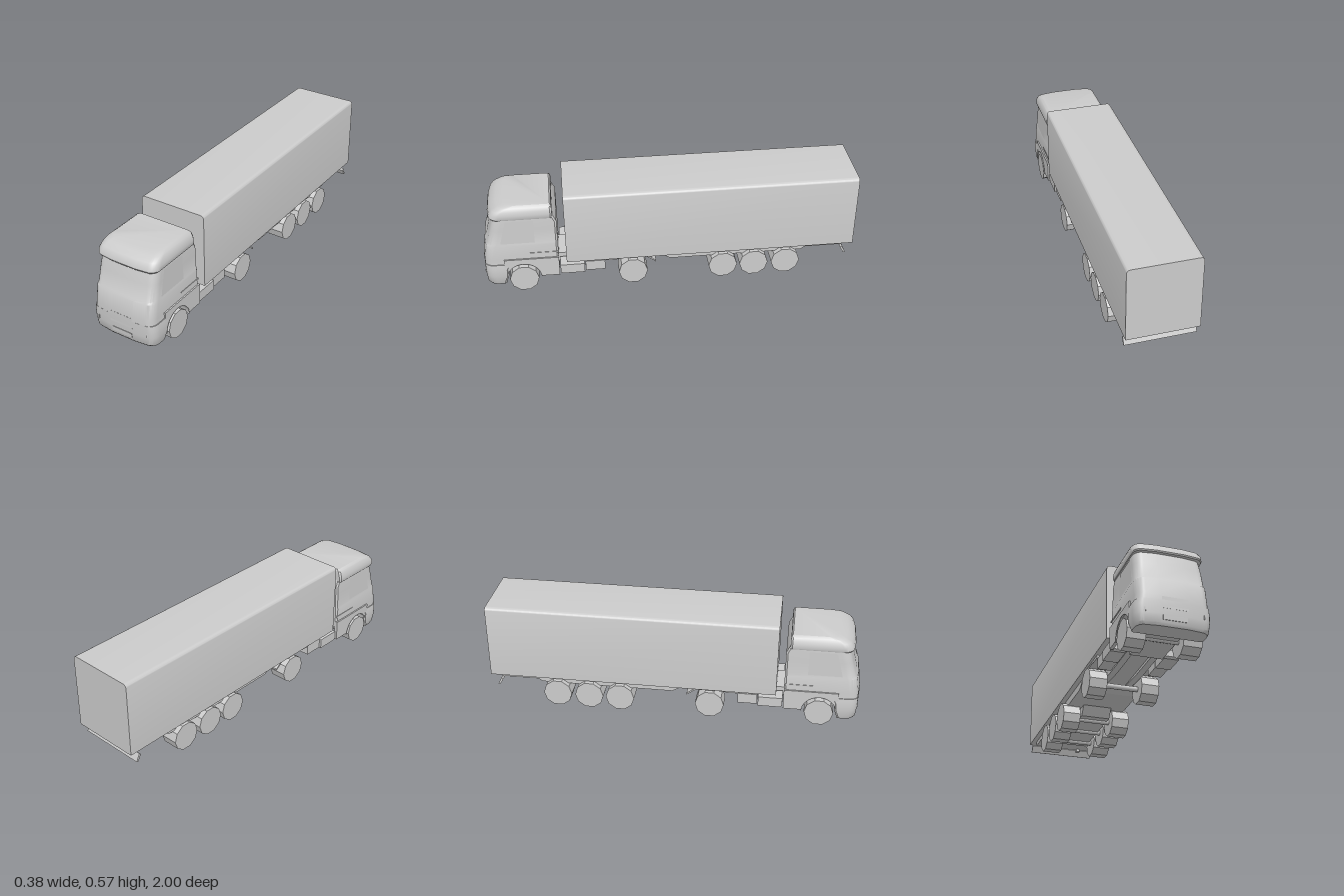
import * as THREE from 'three';
import { toCreasedNormals } from 'three/addons/utils/BufferGeometryUtils.js';

const grey = new THREE.MeshStandardMaterial({ color: 0xcccccc });
const greyThin = new THREE.MeshStandardMaterial({ color: 0xcccccc, side: THREE.DoubleSide });

export function createModel() {
  const truck = new THREE.Group();

  const add = (name, geometry, material = grey) => {
    const mesh = new THREE.Mesh(geometry, material);
    mesh.name = name;
    truck.add(mesh);
    return mesh;
  };

  // Box given by its limits on each axis
  const box = (name, x0, x1, y0, y1, z0, z1) =>
    add(name, new THREE.BoxGeometry(x1 - x0, y1 - y0, z1 - z0))
      .position.set((x0 + x1) / 2, (y0 + y1) / 2, (z0 + z1) / 2);

  const shapeOf = (points) => new THREE.Shape(points.map(([a, b]) => new THREE.Vector2(a, b)));

  // Side profile of [z, y] points extruded across x
  const profile = (name, points, x0, x1) => {
    const g = new THREE.ExtrudeGeometry(shapeOf(points), { depth: x1 - x0, bevelEnabled: false });
    g.rotateY(-Math.PI / 2).translate(x1, 0, 0);
    return add(name, toCreasedNormals(g, 0.5));
  };

  // Front-rounded horizontal sections [y, halfWidth, zFront, zBack], joined upward
  const loft = (name, sections, rx = 0.04, rz = 0.05) => {
    const pos = [], index = [];
    let n = 0;
    for (const [y, w, zf, zb] of sections) {
      const half = [[w - 0.008, zb], [w, zb + 0.01]];
      for (let i = 0; i <= 6; i++) {
        const a = (i / 6) * Math.PI / 2;
        half.push([w - rx + rx * Math.cos(a), zf - 0.008 - rz + rz * Math.sin(a)]);
      }
      half.push([w * 0.4, zf]);
      const ring = [...half, ...half.slice().reverse().map(([x, z]) => [-x, z])];
      n = ring.length;
      ring.forEach(([x, z]) => pos.push(x, y, z));
    }
    for (let s = 0; s < sections.length - 1; s++) {
      for (let i = 0; i < n; i++) {
        const a = s * n + i, b = s * n + (i + 1) % n;
        index.push(a, a + n, b, b, a + n, b + n);
      }
    }
    const top = (sections.length - 1) * n;
    for (let i = 1; i < n - 1; i++) {
      index.push(0, i, i + 1, top, top + i + 1, top + i);
    }
    const g = new THREE.BufferGeometry();
    g.setAttribute('position', new THREE.Float32BufferAttribute(pos, 3));
    g.setIndex(index);
    return add(name, toCreasedNormals(g, 0.55));
  };

  // Trailer box with rounded roof edges
  const W = 0.188, R = 0.022;
  const section = new THREE.Shape();
  section.moveTo(-W, 0.165);
  section.lineTo(W, 0.165);
  section.lineTo(W, 0.575 - R);
  section.quadraticCurveTo(W, 0.575, W - R, 0.575);
  section.lineTo(R - W, 0.575);
  section.quadraticCurveTo(-W, 0.575, -W, 0.575 - R);
  const body = new THREE.ExtrudeGeometry(section, { depth: 1.56, bevelEnabled: false, curveSegments: 6 });
  add('trailerBody', toCreasedNormals(body.translate(0, 0, -1), 0.6));

  // Trailer underframe, axle carrier and rear guard
  profile('trailerUnderframe', [[0.07, 0.166], [0.0, 0.125], [-0.72, 0.125], [-0.74, 0.14],
    [-0.94, 0.14], [-0.95, 0.166]], -0.16, 0.16);
  profile('axleCarrier', [[-0.19, 0.126], [-0.23, 0.075], [-0.69, 0.075], [-0.73, 0.126]], -0.08, 0.08);
  profile('rearGuard', [[-0.935, 0.135], [-0.955, 0.1], [-0.965, 0.103], [-0.945, 0.145]], -0.185, 0.185);
  for (const s of [-1, 1]) {
    box('rearGuardBracket', s * 0.1 - 0.01, s * 0.1 + 0.01, 0.125, 0.166, -0.95, -0.92);
  }

  // Cab shell: lower body, raked windscreen, roof with overhanging visor
  loft('cabBody', [
    [0.165, 0.18, 1.0, 0.6], [0.2, 0.178, 0.999, 0.6], [0.285, 0.177, 0.986, 0.6],
    [0.295, 0.174, 0.978, 0.6], [0.38, 0.172, 0.957, 0.6], [0.42, 0.17, 0.946, 0.6],
    [0.46, 0.167, 0.934, 0.62]]);
  loft('cabRoof', [
    [0.448, 0.174, 0.955, 0.62], [0.455, 0.177, 0.958, 0.62], [0.475, 0.177, 0.953, 0.62],
    [0.495, 0.172, 0.938, 0.62], [0.512, 0.164, 0.91, 0.622], [0.522, 0.15, 0.875, 0.63]]);
  loft('bumper', [
    [0.042, 0.177, 0.985, 0.885], [0.055, 0.182, 0.994, 0.885], [0.1, 0.188, 0.998, 0.87],
    [0.14, 0.188, 1.0, 0.868], [0.17, 0.184, 1.0, 0.85]]);
  box('engine', -0.085, 0.085, 0.07, 0.17, 0.6, 0.88);

  // Slots and lamps on the cab front
  box('upperGrille', -0.065, 0.065, 0.17, 0.188, 0.98, 1.0);
  box('middleGrille', -0.066, 0.066, 0.128, 0.14, 0.98, 1.0);
  profile('lowerIntake', [[0.98, 0.07], [0.998, 0.07], [1.0, 0.095], [0.98, 0.095]], -0.06, 0.06);

  for (const s of [-1, 1]) {
    const across = (name, pts, a, b) => profile(name, pts, s > 0 ? a : -b, s > 0 ? b : -a);

    // Fender panel cut by the wheel arch, and its inner lining
    const fender = [[0.89, 0.2], [0.6, 0.2], [0.6, 0.085], [0.69, 0.085]];
    for (let i = 0; i <= 12; i++) {
      const a = Math.PI * (0.965 - 0.93 * i / 12);
      fender.push([0.79 + 0.093 * Math.cos(a), 0.075 + 0.093 * Math.sin(a)]);
    }
    fender.push([0.89, 0.085]);
    across('fender', fender, 0.168, 0.186);
    const lining = new THREE.CylinderGeometry(0.094, 0.094, 0.1, 16, 1, true, 0, Math.PI);
    add('wheelArch', lining.rotateZ(Math.PI / 2), greyThin).position.set(s * 0.138, 0.075, 0.79);

    // Headlamp lying on the bumper corner
    const lamp = add('headlamp', new THREE.BoxGeometry(0.045, 0.02, 0.012));
    lamp.position.set(s * 0.158, 0.113, 0.976);
    lamp.rotation.y = s * 0.7;

    // Side window following the inward lean of the cab, and the door seam
    const glass = new THREE.ShapeGeometry(shapeOf(
      [[0.72, 0.3], [0.9, 0.3], [0.885, 0.36], [0.865, 0.435], [0.72, 0.435]]));
    glass.rotateY(-Math.PI / 2);
    const p = glass.attributes.position;
    for (let i = 0; i < p.count; i++) {
      p.setX(i, s * (0.1755 - (p.getY(i) - 0.295) * 0.032));
    }
    glass.computeVertexNormals();
    add('sideWindow', glass, greyThin);
    across('sideMoulding', [[0.6, 0.228], [0.745, 0.228], [0.75, 0.236], [0.6, 0.236]], 0.17, 0.18);

    // Chassis rail, tanks and rear mudguard plate of the tractor
    across('chassisRail', [[0.62, 0.15], [0.62, 0.105], [0.3, 0.105], [0.08, 0.12], [0.08, 0.155]], 0.05, 0.085);
    across('frontTank', [[0.595, 0.14], [0.595, 0.095], [0.585, 0.085], [0.465, 0.085], [0.465, 0.14]], 0.1, 0.178);
    across('rearTank', [[0.46, 0.148], [0.46, 0.09], [0.355, 0.09], [0.355, 0.148]], 0.1, 0.17);
    across('rearMudguard', [[0.36, 0.15], [0.3, 0.15], [0.27, 0.155], [0.13, 0.155], [0.08, 0.118],
      [0.08, 0.128], [0.13, 0.165], [0.36, 0.165]], 0.085, 0.175);
  }
  box('chassisCrossPlate', -0.085, 0.085, 0.12, 0.155, 0.08, 0.6);
  box('couplingPlate', -0.09, 0.09, 0.15, 0.167, 0.1, 0.32);

  // Ten-sided wheels on five axles
  const wheel = new THREE.CylinderGeometry(0.078, 0.078, 0.095, 10, 2);
  wheel.rotateY(Math.PI / 2).rotateZ(Math.PI / 2).rotateX(Math.PI / 2);
  const wheelFlat = toCreasedNormals(wheel, 0.1);
  for (const z of [0.79, 0.205, -0.285, -0.455, -0.63]) {
    for (const s of [-1, 1]) {
      add('wheel', wheelFlat).position.set(s * 0.1405, 0.0745, z);
    }
    const axle = new THREE.CylinderGeometry(0.015, 0.015, 0.2, 8);
    add('axle', axle.rotateZ(Math.PI / 2)).position.set(0, 0.075, z);
  }

  return truck;
}
